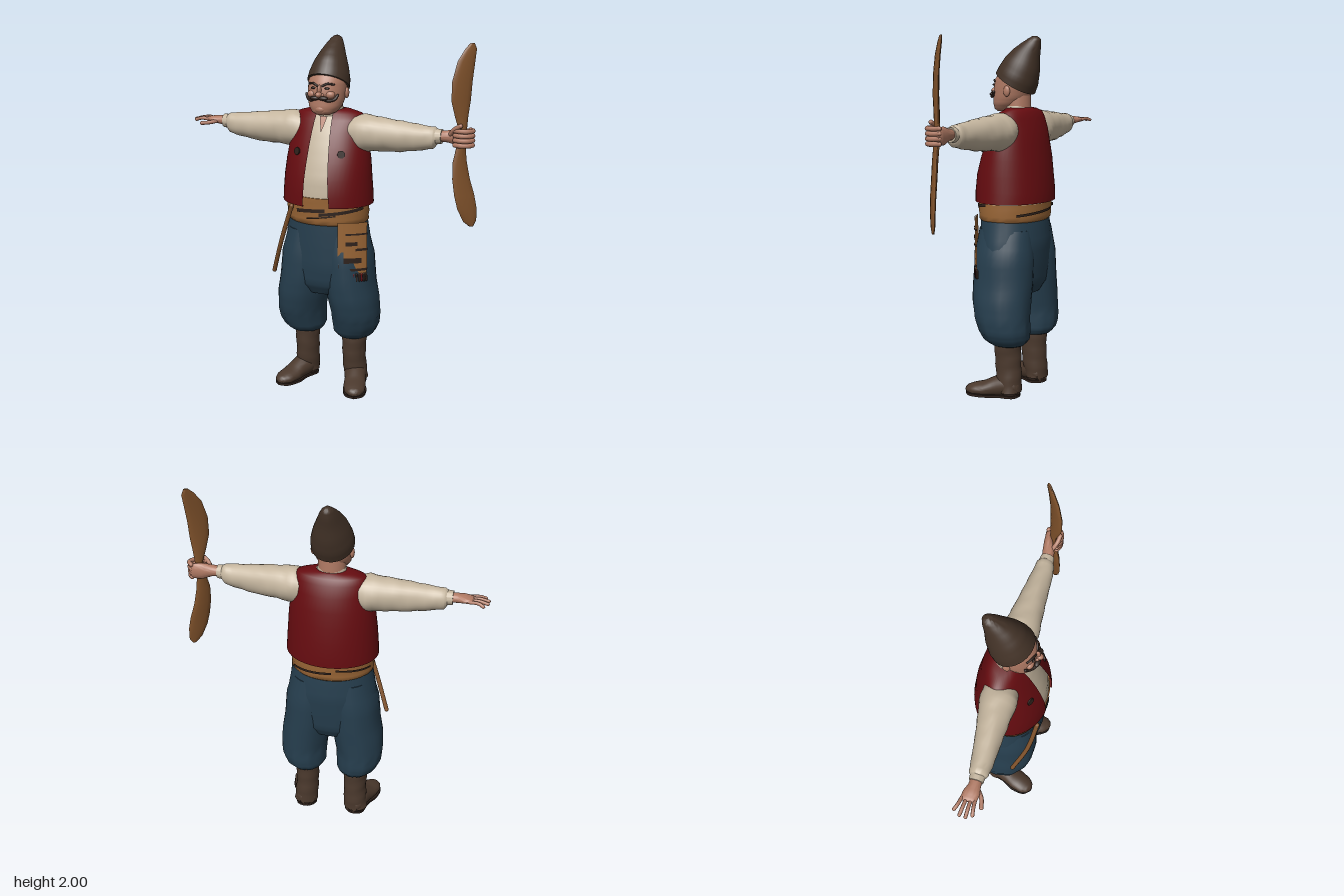
import * as THREE from 'three';
import { mergeGeometries, toCreasedNormals } from 'three/addons/utils/BufferGeometryUtils.js';

const mat = (name, color, double) => new THREE.MeshStandardMaterial({ name, color, side: double ? THREE.DoubleSide : THREE.FrontSide });
const V = (x, y, z) => new THREE.Vector3(x, y, z);

// Surface through rows of points; closed rows wrap round and get end caps.
function skin(rows, closed = true) {
  const n = rows[0].length, pos = [], idx = [];
  rows.forEach(r => r.forEach(p => pos.push(p.x, p.y, p.z)));
  const m = closed ? n : n - 1;
  for (let j = 0; j < rows.length - 1; j++) for (let i = 0; i < m; i++) {
    const a = j * n + i, b = j * n + (i + 1) % n;
    idx.push(a, b, b + n, a, b + n, a + n);
  }
  if (closed) [0, rows.length - 1].forEach((j, top) => {
    const c = rows[j].reduce((s, p) => s.add(p), V(0, 0, 0)).divideScalar(n), k = pos.length / 3;
    pos.push(c.x, c.y, c.z);
    for (let i = 0; i < n; i++) {
      const a = j * n + i, b = j * n + (i + 1) % n;
      if (top) idx.push(k, a, b);
      else idx.push(k, b, a);
    }
  });
  const g = new THREE.BufferGeometry();
  g.setAttribute('position', new THREE.Float32BufferAttribute(pos, 3));
  g.setIndex(idx);
  return g;
}

// Oval rings [y, cx, cz, rx, rz, tilt] with steps between; wave(y, a) adds folds.
function loft(rings, { wave = () => 1, steps = 3, seg = 32, side = 1 } = {}) {
  const full = rings.map(([y, cx, cz, rx, rz, tilt = 0]) => [y, cx, cz, rx, rz, tilt]);
  const dense = [];
  for (let j = 0; j < full.length - 1; j++) for (let s = 0; s < steps; s++)
    dense.push(full[j].map((v, k) => v + (full[j + 1][k] - v) * s / steps));
  dense.push(full[full.length - 1]);
  return skin(dense.map(([y, cx, cz, rx, rz, tilt]) => Array.from({ length: seg }, (_, i) => {
    const a = i / seg * Math.PI * 2, w = wave(y, a), z = rz * Math.cos(a) * w;
    return V(cx * side + rx * Math.sin(a) * w, y + tilt * z, cz + z);
  })));
}

// Open strip wrapped on an upright oval.
function wrap(a0, a1, y0, y1, rx, rz, slope = 0, seg = 12) {
  return skin([y0, y1].map(y => Array.from({ length: seg + 1 }, (_, i) => {
    const a = a0 + (a1 - a0) * i / seg;
    return V(rx * Math.sin(a), y + slope * (a - a0), rz * Math.cos(a));
  })), false);
}

// Rounded rod along points
function rod(pts, r) {
  const p = pts.map(q => V(...q));
  const ends = [p[0], p[p.length - 1]].map(e => new THREE.SphereGeometry(r, 10, 8).translate(e.x, e.y, e.z));
  return mergeGeometries([new THREE.TubeGeometry(new THREE.CatmullRomCurve3(p), 12, r, 8), ...ends]);
}
const ball = (x, y, z, rx, ry, rz) => new THREE.SphereGeometry(1, 18, 12).scale(rx, ry, rz).translate(x, y, z);

export function createModel() {
  const M = {
    vest: mat('dark red', 0x660c10, true), cloth: mat('cream cloth', 0xc4b59e), trousers: mat('navy cloth', 0x263e4e),
    boots: mat('brown leather', 0x4b392d), hat: mat('brown felt', 0x413126), skin: mat('skin', 0xb07a64, true),
    sash: mat('ochre cloth', 0x9a6636, true), wood: mat('wood', 0x80522b), dark: mat('dark brown', 0x2e211b, true),
  };
  const model = new THREE.Group();
  const add = (name, geo, m, crease = 1) => {
    if (!geo.attributes.normal) geo = toCreasedNormals(geo, crease);
    const mesh = new THREE.Mesh(geo, m);
    mesh.name = name;
    model.add(mesh);
    return mesh;
  };

  // Vest with an open front, and the shirt inside it
  const body = [[1.10, 0, 0, .26, .21], [1.16, 0, 0, .257, .21], [1.25, 0, 0, .25, .2], [1.34, 0, -.008, .242, .182],
    [1.42, 0, -.015, .23, .16], [1.5, 0, -.025, .212, .135], [1.56, 0, -.03, .204, .105], [1.592, 0, -.035, .185, .085],
    [1.61, 0, -.035, .12, .068], [1.615, 0, -.03, .08, .06]];
  const vestRows = [[1.10, 0, 0, .23, .185], ...body].map(([y, , cz, rx, rz]) => {
    const t = (y - 1.1) / .5, l = Math.asin((.085 - .04 * t) / rx), r = Math.asin((.068 - .02 * t) / rx);
    return Array.from({ length: 49 }, (_, i) => {
      const a = l + (Math.PI * 2 - l - r) * i / 48;
      return V(rx * Math.sin(a), y, cz + rz * Math.cos(a));
    });
  });
  add('vest', skin(vestRows, false), M.vest);
  add('shirt', loft(body.map(([y, x, z, rx, rz]) => [y - .005, x, z, rx * .92, rz * .92])), M.cloth);
  add('collar', loft([[1.58, 0, -.02, .085, .075], [1.625, 0, -.015, .076, .07]]), M.cloth);
  add('neckOpening', skin([[V(-.002, 1.5, .107), V(.002, 1.5, .107)], [V(-.022, 1.58, .066), V(.022, 1.58, .066)]], false), M.skin);
  for (const s of [-1, 1]) {
    const button = add('vestButton', new THREE.CylinderGeometry(.021, .021, .008, 18).rotateX(Math.PI / 2), M.dark);
    button.position.set(s * .13, 1.39, .133);
    button.rotation.set(-.2, s * .45, 0);
  }

  // Head and face
  add('neck', loft([[1.54, 0, -.025, .075, .065], [1.68, 0, -.01, .075, .075]]), M.skin);
  add('head', loft([[1.592, 0, .065, .04, .045], [1.605, 0, .055, .068, .07], [1.635, 0, .04, .09, .09], [1.67, 0, .025, .1, .103],
    [1.72, 0, .014, .105, .111], [1.77, 0, .006, .105, .108], [1.83, 0, -.015, .09, .09]]), M.skin, 2);
  add('nose', mergeGeometries([ball(0, 1.705, .135, .018, .016, .022), ball(0, 1.728, .126, .011, .03, .014),
    ball(.016, 1.702, .126, .011, .01, .013), ball(-.016, 1.702, .126, .011, .01, .013)]), M.skin);
  add('chin', ball(0, 1.625, .105, .035, .025, .028), M.skin);
  for (const s of [-1, 1]) {
    add('ear', ball(s * .106, 1.705, -.005, .012, .03, .02), M.skin);
    add('eye', ball(s * .04, 1.738, .115, .014, .006, .006), M.dark);
    add('eyebrow', rod([[s * .015, 1.75, .119], [s * .04, 1.762, .112], [s * .07, 1.758, .092]], .006), M.dark);
    add('cheek', ball(s * .05, 1.703, .1, .03, .022, .022), M.skin);
    add('moustache', mergeGeometries([ball(s * .024, 1.686, .132, .028, .012, .015),
      rod([[s * .02, 1.685, .136], [s * .05, 1.673, .125], [s * .078, 1.68, .1], [s * .09, 1.7, .088]], .008)]), M.dark);
  }
  add('hat', loft([[1.75, 0, 0, .108, .098, .6], [1.75, 0, 0, .117, .106, .6], [1.79, 0, -.02, .113, .105, .55], [1.85, 0, -.045, .094, .094, .5],
    [1.91, 0, -.07, .068, .074, .35], [1.955, 0, -.098, .047, .055, .2], [1.985, 0, -.117, .03, .037, .05], [2, 0, -.12, .012, .015, 0]]), M.hat);

  // Sleeves and wrists, lofted upright and laid sideways
  const limb = (rings, s, wave) => loft(rings.map(([t, dy, ...r]) => [t, -dy, ...r]), { wave, side: s }).rotateZ(-s * Math.PI / 2).translate(0, 1.49, 0);
  const folds = (t, a) => 1 + .022 * Math.sin(t * 62 + 2 * Math.sin(a * 2)) + .012 * Math.sin(a * 5 + t * 20);
  for (const s of [-1, 1]) {
    add('sleeve', limb([[.14, 0, -.02, .09, .09], [.2, 0, -.018, .103, .1], [.3, 0, -.014, .093, .085], [.42, -.003, -.008, .084, .07],
      [.55, 0, 0, .066, .057], [.605, .005, 0, .058, .05], [.62, .01, 0, .042, .04]], s, folds), M.cloth);
    add('cuff', limb([[.6, .012, 0, .042, .042], [.648, .014, 0, .038, .037]], s), M.cloth);
  }

  // Open right hand
  add('rightPalm', limb([[.62, .015, 0, .027, .03], [.67, .017, 0, .025, .032], [.71, .02, -.004, .02, .043], [.75, .018, -.008, .014, .042], [.758, .018, -.008, .008, .036]], -1), M.skin);
  [[-.04, -.062, .82], [-.018, -.028, .84], [.004, .004, .842], [.024, .034, .825]].forEach(([z0, z1, x]) =>
    add('rightFinger', rod([[-.735, 1.509, z0], [-.785, 1.513, (z0 + z1) / 2], [-x + .009, 1.504, z1]], .0095), M.skin));
  add('rightThumb', rod([[-.68, 1.503, .02], [-.72, 1.495, .05], [-.765, 1.49, .063]], .011), M.skin);

  // Left hand gripping the paddle
  add('leftPalm', limb([[.64, .015, 0, .028, .03], [.68, .017, -.004, .032, .033], [.73, .015, -.018, .046, .026], [.785, .015, -.03, .045, .018], [.8, .015, -.03, .03, .01]], 1), M.skin);
  for (let i = 0; i < 4; i++) {
    const y = 1.544 - i * .025;
    add('leftFinger', rod([[.79, y, -.035], [.812, y, -.005], [.795, y, .032], [.755, y, .044], [.725, y, .03]], .0125), M.skin);
  }
  add('leftThumb', rod([[.69, 1.515, .01], [.72, 1.55, .03], [.755, 1.572, .038]], .012), M.skin);

  // Double-ended paddle: [y, x, z, half width, half thickness]
  const blade = [[1.03, .82, -.012, .012, .006], [1.06, .812, -.006, .04, .009], [1.13, .797, .005, .058, .011], [1.2, .782, .012, .06, .012], [1.29, .762, .018, .052, .013],
    [1.38, .752, .018, .042, .014], [1.46, .753, .008, .027, .015], [1.55, .757, 0, .024, .015], [1.62, .75, .006, .04, .014],
    [1.7, .746, .012, .057, .013], [1.8, .748, .008, .06, .012], [1.9, .76, -.012, .052, .011], [1.96, .775, -.035, .035, .009], [1.99, .78, -.045, .012, .006]];
  add('paddle', skin(blade.map(([y, x, z, w, t]) => Array.from({ length: 12 }, (_, i) => {
    const a = i / 12 * Math.PI * 2, u = w * Math.sin(a), v = t * Math.cos(a);
    return V(x + (u + v) * .707, y, z + (v - u) * .707);
  }))), M.wood);

  // Sash round the waist with woven stripes
  add('sash', loft([[.995, 0, .003, .225, .18], [1.005, 0, .003, .234, .188], [1.07, 0, .003, .236, .192], [1.15, 0, .003, .236, .197]],
    { wave: (y, a) => 1 + .008 * Math.sin(y * 120 + 1.5 * Math.sin(a)) }), M.sash);
  [[-.5, .25, 1.06, .02, .02], [.1, 1.3, 1.05, .018, .025], [-.2, .5, 1.03, .008, .03], [2.2, 3.3, 1.03, .014, .02], [3.4, 4.4, 1.07, .012, -.02]].forEach(([a0, a1, y, h, k]) =>
    add('sashStripe', wrap(a0, a1, y, y + h, .241, .2, k, 16), M.dark));

  // Hanging sash end: a short layer, a long layer, stripes and fringe
  add('sashEndShort', wrap(.45, .75, .77, 1.02, .29, .19), M.sash);
  add('sashEndLong', wrap(.56, 1.1, .72, 1.02, .3, .196), M.sash);
  [[.95, .01, .6, 1.1], [.89, .022, .6, .85], [.86, .014, .8, 1.1], [.79, .03, .56, .95], [.745, .014, .6, 1.1]].forEach(([y, h, a0, a1]) =>
    add('sashEndStripe', wrap(a0, a1, y, y + h, .304, .2), M.dark));
  for (let i = 0; i < 9; i++) {
    const a = .58 + i * .0625;
    add('fringe', rod([[.3 * Math.sin(a), .725, .194 * Math.cos(a)], [.302 * Math.sin(a), .686, .192 * Math.cos(a)]], .0065), i % 3 ? M.dark : M.vest);
  }
  for (let i = 0; i < 4; i++) {
    const a = .47 + i * .07;
    add('shortFringe', rod([[.29 * Math.sin(a), .78, .19 * Math.cos(a)], [.29 * Math.sin(a), .755, .19 * Math.cos(a)]], .006), M.dark);
  }
  // Stick tucked in the sash
  add('stick', rod([[-.302, .67, .085], [-.225, .87, .15], [-.145, 1.09, .18]], .013), M.wood);

  // Baggy trousers
  const pleats = (y, a) => 1 + .014 * Math.sin(a * 8 + y * 9) * Math.min(1, (1.05 - y) * 2) + (y < .45 ? .02 * Math.sin(a * 11) : 0);
  add('trouserHips', loft([[.58, 0, 0, .16, .13], [.64, 0, .002, .245, .165], [.75, 0, .002, .265, .178], [.87, 0, -.003, .252, .184],
    [.96, 0, 0, .236, .18], [1.03, 0, .003, .225, .175]], { wave: pleats }), M.trousers);
  for (const s of [-1, 1]) {
    add('trouserLeg', loft([[.3, .148, -.04, .078, .085], [.308, .148, -.035, .096, .105], [.335, .155, -.03, .118, .132], [.38, .165, -.024, .13, .146],
      [.45, .167, -.01, .136, .158], [.55, .154, 0, .143, .17], [.65, .138, .002, .142, .175], [.8, .125, 0, .143, .174], [.95, .11, 0, .115, .155]],
      { wave: pleats, side: s }), M.trousers);

    // Boots: shaft, foot, sole and heel, toes turned out
    add('bootShaft', loft([[.03, .155, -.055, .07, .062], [.1, .15, -.045, .068, .073], [.18, .147, -.038, .066, .075], [.26, .148, -.036, .07, .077], [.33, .149, -.037, .074, .077]],
      { side: s, wave: (y, a) => 1 + .025 * Math.sin(y * 70 + 1.5 * Math.sin(a + s)) }), M.boots);
    const place = g => g.rotateY(s * .33).translate(s * .155, 0, -.045);
    const foot = loft([[-.062, 0, -.05, .045, .04], [-.04, 0, -.06, .06, .055], [.02, 0, -.065, .065, .068], [.08, 0, -.05, .06, .058],
      [.14, 0, -.035, .064, .043], [.2, 0, -.03, .058, .033], [.235, 0, -.028, .036, .022], [.248, 0, -.026, .014, .01]]).rotateX(Math.PI / 2);
    const p = foot.attributes.position;
    for (let i = 0; i < p.count; i++) p.setY(i, Math.max(.012, p.getY(i)));
    add('bootFoot', place(foot), M.boots);
    const outline = new THREE.Shape(new THREE.SplineCurve([[0, .25], [.05, .22], [.068, .14], [.055, .06], [.06, -.03], [0, -.066],
      [-.06, -.03], [-.055, .06], [-.068, .14], [-.05, .22], [0, .25]].map(q => new THREE.Vector2(q[0], -q[1]))).getPoints(40));
    add('sole', place(new THREE.ExtrudeGeometry(outline, { depth: .014, bevelEnabled: false }).rotateX(-Math.PI / 2)), M.dark);
    add('heel', place(new THREE.CylinderGeometry(.058, .054, .03, 20).translate(0, .015, -.008)), M.dark);
  }
  return model;
}
